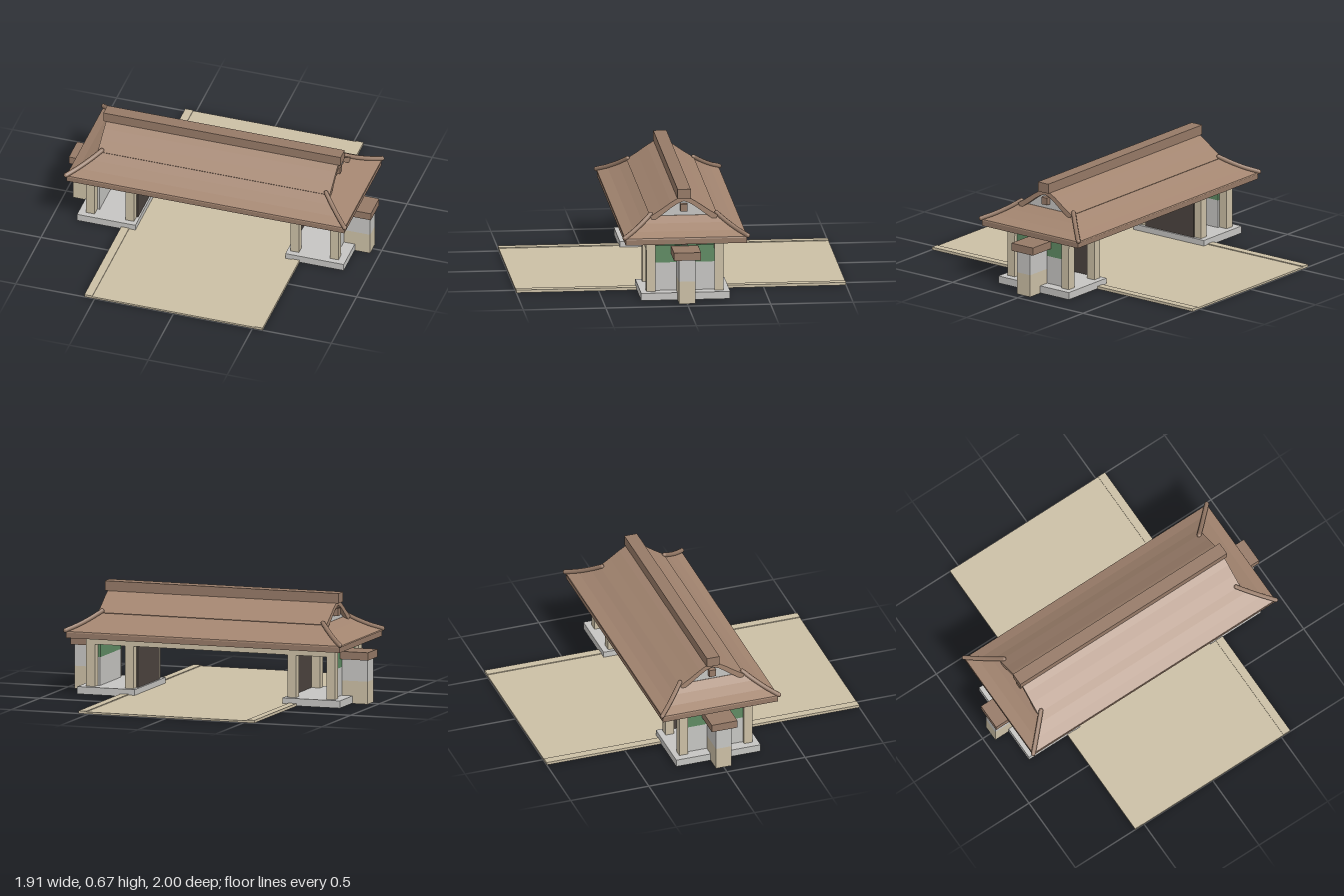
import * as THREE from 'three';

const mat = (name, color, side = THREE.FrontSide) => {
  const m = new THREE.MeshStandardMaterial({ color, side });
  m.name = name;
  return m;
};

export function createModel() {
  const tile = mat('roof tile brown', 0xa38570);
  const trim = mat('trim brown', 0x967a67);
  const cream = mat('cream timber', 0xcbbfa5);
  const grey = mat('pale plaster', 0xc6c5c2);
  const green = mat('panel green', 0x5f8b63);
  const dark = mat('dark wood', 0x4c443f);
  const root = new THREE.Group();

  const add = (name, geometry, material) => {
    const mesh = new THREE.Mesh(geometry, material);
    mesh.name = name;
    root.add(mesh);
    return mesh;
  };
  // Box given by its min and max on each axis
  const box = (name, material, x0, x1, y0, y1, z0, z1) => {
    const g = new THREE.BoxGeometry(Math.abs(x1 - x0), y1 - y0, Math.abs(z1 - z0));
    g.translate((x0 + x1) / 2, (y0 + y1) / 2, (z0 + z1) / 2);
    return add(name, g, material);
  };
  // Outline in (z, y) extruded along x
  const extrudeX = (name, material, pts, x0, x1) => {
    const shape = new THREE.Shape(pts.map(([z, y]) => new THREE.Vector2(-z, y)));
    const g = new THREE.ExtrudeGeometry(shape, { depth: x1 - x0, bevelEnabled: false });
    g.rotateY(Math.PI / 2);
    g.translate(x0, 0, 0);
    return add(name, g, material);
  };
  const mirrored = (half) => [...half.slice(1).reverse().map(([z, y]) => [-z, y]), ...half];

  // Paved path with raised kerbs
  box('path', cream, -0.515, 0.515, 0, 0.012, -1, 1);
  for (const s of [-1, 1]) box('pathKerb', cream, s * 0.515, s * 0.565, 0, 0.017, -1, 1);

  // Two side bays
  for (const s of [-1, 1]) {
    box('platform', grey, s * 0.475, s * 0.845, 0.002, 0.047, -0.27, 0.27);
    for (const z of [-0.207, 0.207]) {
      box('outerPost', cream, s * 0.745, s * 0.8, 0.047, 0.355, z - 0.027, z + 0.027);
      box('innerPost', cream, s * 0.495, s * 0.55, 0.047, 0.355, z - 0.027, z + 0.027);
    }
    box('doorPanel', dark, s * 0.485, s * 0.496, 0.047, 0.32, -0.185, 0.185);
    box('bayWall', grey, s * 0.73, s * 0.775, 0.047, 0.22, -0.18, 0.18);
    box('bayWallPanel', green, s * 0.728, s * 0.777, 0.22, 0.325, -0.18, 0.18);

    // Flanking wall with a tiled cap
    box('wallFoot', cream, s * 0.777, s * 0.942, 0, 0.138, -0.05, 0.05);
    box('wallTop', grey, s * 0.778, s * 0.942, 0.138, 0.272, -0.05, 0.05);
    box('wallCap', trim, s * 0.778, s * 0.957, 0.272, 0.32, -0.082, 0.082);
  }

  // Long beams
  for (const z of [-0.207, 0.207]) box('eaveBeam', cream, -0.8, 0.8, 0.305, 0.356, z - 0.028, z + 0.028);
  box('centreBeam', dark, -0.78, 0.78, 0.322, 0.346, -0.018, 0.018);

  // Hipped lower roof: rectangular rings following the concave slope
  box('eaveFascia', trim, -0.88, 0.88, 0.355, 0.39, -0.367, 0.367);
  const skirt = [[0.372, 0.388], [0.37, 0.396], [0.31, 0.423], [0.25, 0.459], [0.2, 0.495]];
  const rings = skirt.map(([z, y]) => [[1, 1], [1, -1], [-1, -1], [-1, 1]].map(([a, b]) => [a * (z + 0.512), y, b * z]));
  const pos = [];
  const quad = (a, b, c, d) => pos.push(...a, ...b, ...c, ...a, ...c, ...d);
  for (let k = 0; k < rings.length - 1; k++) {
    for (let i = 0; i < 4; i++) {
      const j = (i + 1) % 4;
      quad(rings[k][i], rings[k][j], rings[k + 1][j], rings[k + 1][i]);
    }
  }
  quad(...rings[rings.length - 1]);
  const hip = new THREE.BufferGeometry();
  hip.setAttribute('position', new THREE.Float32BufferAttribute(pos, 3));
  hip.computeVertexNormals();
  add('lowerRoof', hip, tile);

  // Gabled upper roof, a curved band that overhangs the gable walls
  const slope = [[0, 0.618], [0.04, 0.604], [0.08, 0.58], [0.14, 0.538], [0.205, 0.496]];
  const under = slope.map(([z, y]) => [z * 0.92, y - 0.03]);
  extrudeX('upperRoof', tile, [...mirrored(slope), ...mirrored(under).reverse()], -0.735, 0.735);
  for (const s of [-1, 1]) {
    const gable = [...mirrored(under.map(([z, y]) => [z, y + 0.005])), [0.188, 0.46], [-0.188, 0.46]];
    extrudeX('gableWall', grey, gable, s * 0.705 - 0.005, s * 0.705 + 0.005);
    box('gablePendant', trim, s * 0.705, s * 0.742, 0.525, 0.57, -0.021, 0.021);
  }
  box('ridge', trim, -0.752, 0.752, 0.605, 0.665, -0.04, 0.04);

  // Curved hip ridges at the four corners
  for (const sx of [-1, 1]) for (const sz of [-1, 1]) {
    const pts = [[0.2, 0.506], [0.25, 0.469], [0.31, 0.432], [0.373, 0.402]]
      .map(([z, y]) => new THREE.Vector3(sx * (z + 0.51), y, sz * z));
    const curve = new THREE.CatmullRomCurve3(pts);
    add('hipRidge', new THREE.TubeGeometry(curve, 10, 0.014, 8), trim);
    // Round end caps
    for (const p of [pts[0], pts[3]]) {
      const cap = new THREE.SphereGeometry(0.014, 8, 6);
      cap.translate(p.x, p.y, p.z);
      add('hipRidgeEnd', cap, trim);
    }
  }
  return root;
}
